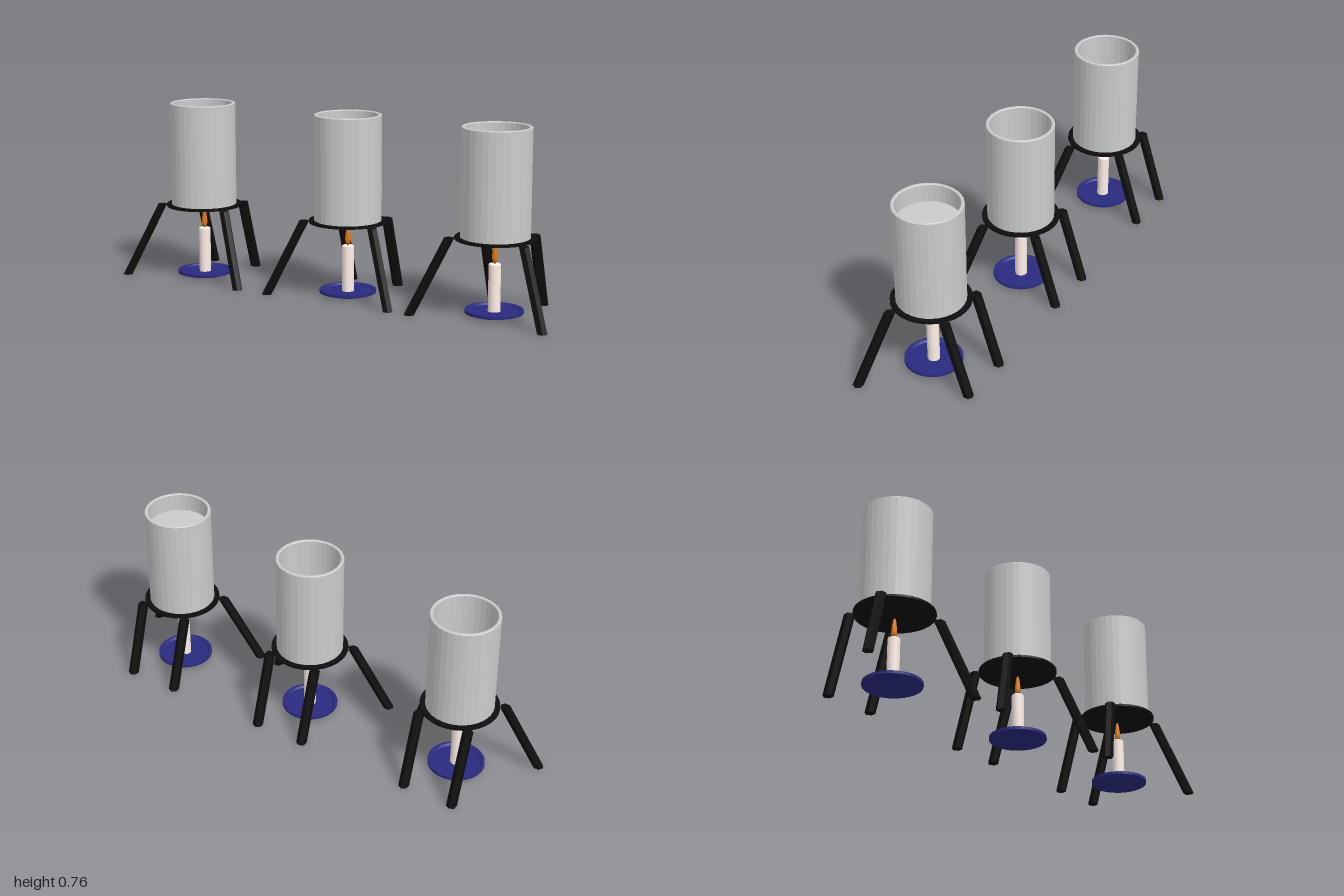
import * as THREE from 'three';

const mat = (color) => new THREE.MeshStandardMaterial({ color, flatShading: true });
const grey = mat(0xcccccc), black = mat(0x0e0e0e), blue = mat(0x2a2a80);
const wax = mat(0xfff0e8), orange = mat(0xe07812);

function add(parent, name, geometry, material) {
  const mesh = new THREE.Mesh(geometry, material);
  mesh.name = name;
  parent.add(mesh);
  return mesh;
}

// Lathe from [radius, height] pairs, listed from bottom outwards and up
function lathe(points, sides) {
  return new THREE.LatheGeometry(points.map(([r, y]) => new THREE.Vector2(r, y)), sides);
}

// Hexagonal bar sheared so that both ends stay horizontal
function legGeometry([topX, topZ], [footX, footZ], turn) {
  const height = 0.312;
  const geo = new THREE.CylinderGeometry(0.022, 0.022, height, 6);
  geo.rotateY(turn);
  geo.translate(0, height / 2, 0);
  const p = geo.attributes.position;
  for (let i = 0; i < p.count; i++) {
    const t = p.getY(i) / height;
    p.setX(i, p.getX(i) + footX + (topX - footX) * t);
    p.setZ(i, p.getZ(i) + footZ + (topZ - footZ) * t);
  }
  geo.computeVertexNormals();
  return geo;
}

function createHeater(liquidLevel) {
  const unit = new THREE.Group();
  unit.name = 'candleHeater';

  // Open cup with a bevelled rim and a floor
  add(unit, 'beaker', lathe([
    [0, 0.314], [0.14, 0.314], [0.14, 0.754], [0.137, 0.757],
    [0.129, 0.757], [0.126, 0.754], [0.126, 0.328], [0, 0.328],
  ], 32), grey);

  // Contents of the cup
  const surface = add(unit, 'liquid', new THREE.CylinderGeometry(0.126, 0.126, 0.01, 32), grey);
  surface.position.y = liquidLevel - 0.005;

  // Stand: plate and four splayed legs
  const stand = new THREE.Group();
  stand.name = 'stand';
  unit.add(stand);
  const plate = add(stand, 'standPlate', new THREE.CylinderGeometry(0.162, 0.162, 0.009, 32), black);
  plate.position.y = 0.3125;
  add(stand, 'frontRightLeg', legGeometry([-0.16, 0.086], [-0.293, 0.17], Math.PI / 6), black);
  add(stand, 'frontLeftLeg', legGeometry([0.16, 0.086], [0.279, 0.17], Math.PI / 6), black);
  for (const s of [-1, 1]) {
    add(stand, s < 0 ? 'backRightLeg' : 'backLeftLeg',
      legGeometry([s * 0.111, -0.135], [s * 0.111, -0.235], 0), black);
  }

  // Dish with a shallow rim
  add(unit, 'dish', lathe([
    [0, 0], [0.085, 0], [0.118, 0.01], [0.118, 0.022],
    [0.107, 0.022], [0.1, 0.014], [0, 0.014],
  ], 32), blue);

  // Candle and flame
  add(unit, 'candle', lathe([
    [0, 0.012], [0.025, 0.012], [0.025, 0.205], [0.023, 0.208], [0, 0.208],
  ], 20), wax);
  add(unit, 'flame', lathe([
    [0, 0.206], [0.004, 0.21], [0.01, 0.22], [0.012, 0.23], [0.0115, 0.245],
    [0.0085, 0.27], [0.006, 0.285], [0.003, 0.292], [0, 0.294],
  ], 12), orange);

  return unit;
}

export function createModel() {
  const model = new THREE.Group();
  model.name = 'candleHeaters';
  // Three heaters in a row, filled to different levels
  for (const [x, level] of [[-0.685, 0.42], [0.034, 0.54], [0.702, 0.68]]) {
    const unit = createHeater(level);
    unit.position.set(x, 0, 0.033);
    model.add(unit);
  }
  return model;
}
